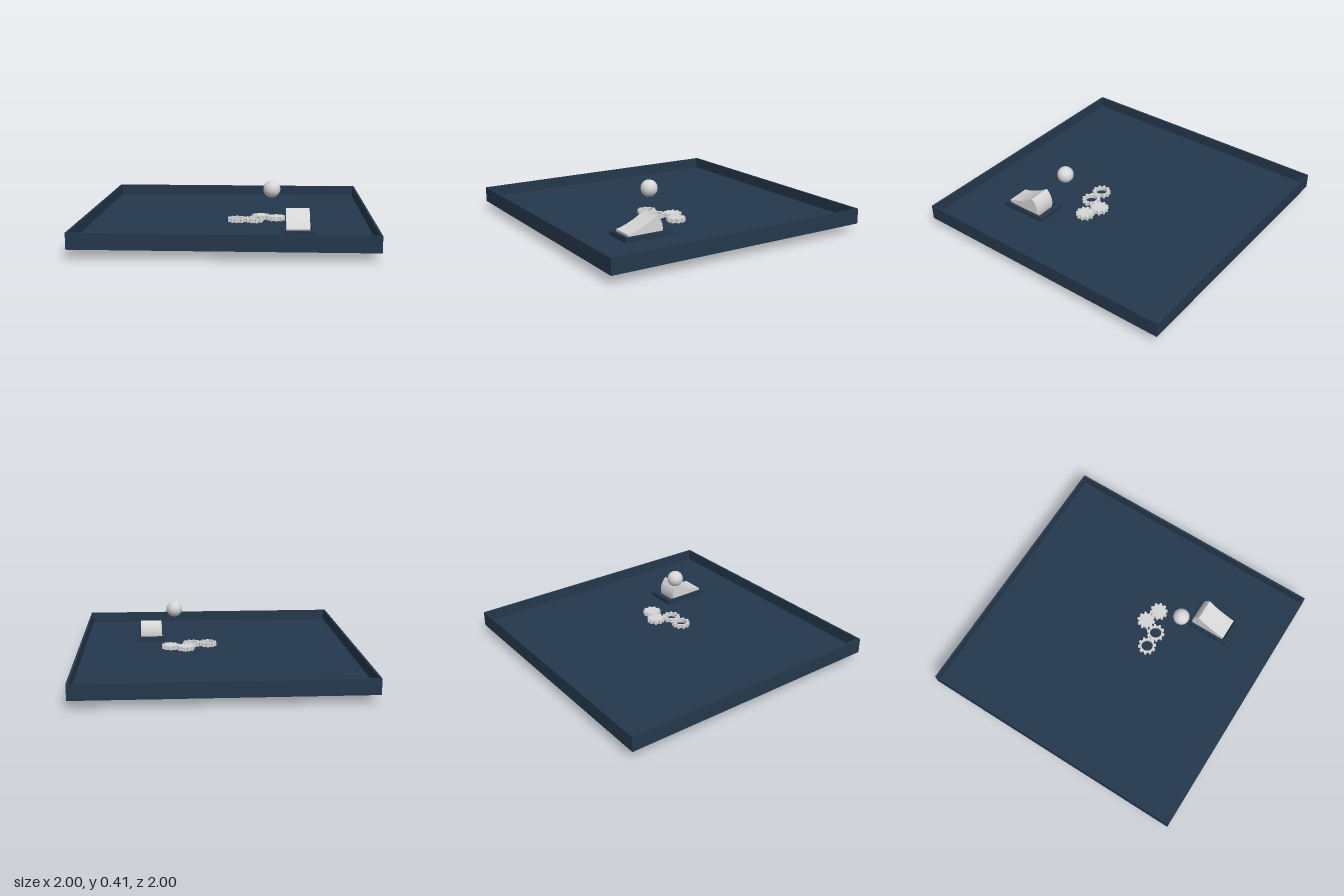
import * as THREE from 'three';

const navy = new THREE.MeshStandardMaterial({ color: 0x24384c });
navy.name = 'navy';
const lightGrey = new THREE.MeshStandardMaterial({ color: 0xd6d6d6 });
lightGrey.name = 'light grey';

function addMesh(group, name, geometry, material) {
  const mesh = new THREE.Mesh(geometry, material);
  mesh.name = name;
  group.add(mesh);
  return mesh;
}

// Rectangle outline given in x and z, for shapes that are laid flat
function rect(x0, x1, z0, z1, Type = THREE.Shape) {
  const p = new Type();
  p.moveTo(x0, -z1);
  p.lineTo(x1, -z1);
  p.lineTo(x1, -z0);
  p.lineTo(x0, -z0);
  p.closePath();
  return p;
}

// Extrudes a flat outline upwards from y0 to y1
function slab(shape, y0, y1) {
  const g = new THREE.ExtrudeGeometry(shape, { depth: y1 - y0, bevelEnabled: false, curveSegments: 32 });
  return g.rotateX(-Math.PI / 2).translate(0, y0, 0);
}

// Extrudes a (z, y) profile sideways from x0 to x1
function sideways(shape, x0, x1) {
  const g = new THREE.ExtrudeGeometry(shape, { depth: x1 - x0, bevelEnabled: false, curveSegments: 14 });
  return g.rotateY(-Math.PI / 2).translate(x1, 0, 0);
}

// Toothed disc, optionally with a round bore
function gearGeometry(bore) {
  const teeth = 10, shape = new THREE.Shape();
  const steps = [[-0.3, 0.053], [-0.17, 0.067], [0.17, 0.067], [0.3, 0.053]];
  for (let i = 0; i < teeth; i++) {
    for (const [offset, r] of steps) {
      const a = ((i + offset) / teeth) * Math.PI * 2;
      const x = Math.cos(a) * r, y = Math.sin(a) * r;
      if (i === 0 && offset === -0.3) shape.moveTo(x, y);
      else shape.lineTo(x, y);
    }
  }
  shape.closePath();
  if (bore) shape.holes.push(new THREE.Path().absarc(0, 0, bore, 0, Math.PI * 2, true));
  return slab(shape, 0.09, 0.12);
}

export function createModel() {
  const model = new THREE.Group();
  model.name = 'mechanismTray';

  // Tray: floor with an opening, and a thin rim
  const floor = rect(-0.985, 0.985, -0.985, 0.985);
  floor.holes.push(rect(0.375, 0.597, 0.3, 0.665, THREE.Path));
  addMesh(model, 'trayFloor', slab(floor, 0.06, 0.09), navy);
  const rim = rect(-1, 1, -1, 1);
  rim.holes.push(rect(-0.985, 0.985, -0.985, 0.985, THREE.Path));
  addMesh(model, 'trayRim', slab(rim, 0.06, 0.17), navy);

  // Raised housing around the opening: straight sides, hollowed ends
  const housing = new THREE.Group();
  housing.name = 'rampHousing';
  model.add(housing);
  for (const [x0, x1] of [[0.375, 0.395], [0.577, 0.597]]) {
    addMesh(housing, 'housingSide', slab(rect(x0, x1, 0.3, 0.665), 0.06, 0.125), navy);
  }
  const cz = 0.49, cy = 0.133, socket = 0.152;
  for (const [name, outer, side] of [['housingBack', 0.3, -1], ['housingFront', 0.665, 1]]) {
    const end = new THREE.Shape();
    end.moveTo(outer, 0.06);
    for (let i = 0; i <= 5; i++) {
      const y = 0.06 + 0.013 * i;
      end.lineTo(cz + side * Math.sqrt(socket ** 2 - (y - cy) ** 2), y);
    }
    end.lineTo(outer, 0.125);
    end.closePath();
    addMesh(housing, name, sideways(end, 0.395, 0.577), navy);
  }

  // Rocking ramp: round underside with a scooped top
  const ramp = new THREE.Shape();
  const r = 0.134, rampZ = 0.4975, start = 2.28;
  ramp.moveTo(rampZ + Math.cos(start) * r, cy + Math.sin(start) * r);
  ramp.absarc(rampZ, cy + 0.001, r, start, Math.PI * 2, false);
  ramp.quadraticCurveTo(0.52, 0.156, rampZ + Math.cos(start) * r, cy + Math.sin(start) * r);
  addMesh(model, 'ramp', sideways(ramp, 0.405, 0.567), lightGrey);

  // Gears: two solid, two ring shaped
  const gears = [
    ['solidGear', 0.225, 0.065, 0, 0], ['solidGear', 0.338, 0.108, 0, 0.31],
    ['ringGear', 0.055, 0.178, 0.043, 0.31], ['ringGear', 0.178, 0.178, 0.043, 0],
  ];
  for (const [name, x, z, bore, turn] of gears) {
    const gear = addMesh(model, name, gearGeometry(bore), lightGrey);
    gear.position.set(x, 0, z);
    gear.rotation.y = turn;
  }

  // Ball hovering above the tray
  addMesh(model, 'ball', new THREE.SphereGeometry(0.06, 32, 20), lightGrey).position.set(0.305, 0.35, 0.31);

  return model;
}
